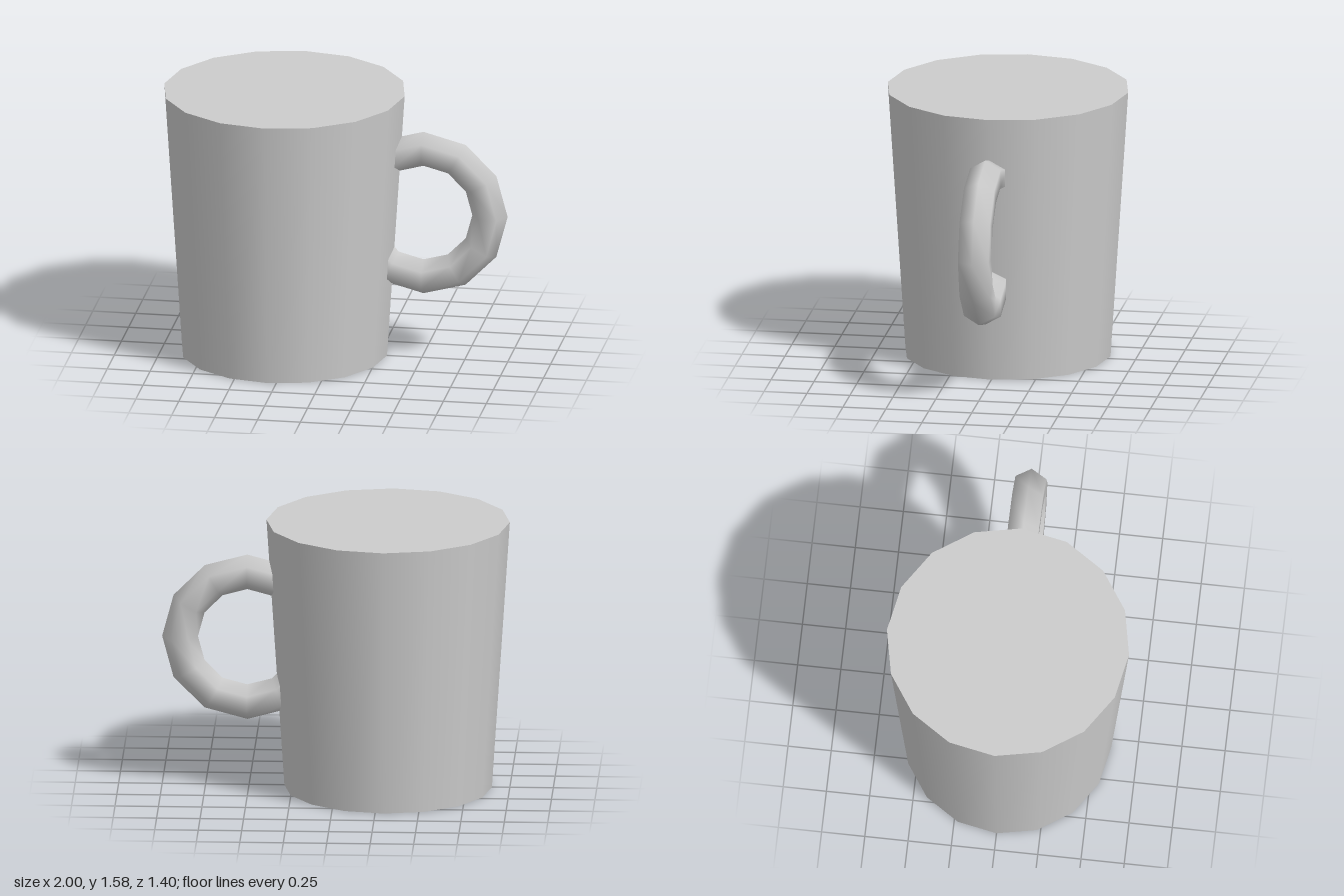
import * as THREE from 'three';

export function createModel() {
  const group = new THREE.Group();
  const material = new THREE.MeshStandardMaterial({ color: 0xcccccc });
  const height = 1.58;

  // Tapered, closed body with sixteen smooth-shaded sides
  const body = new THREE.Mesh(new THREE.CylinderGeometry(0.7, 0.597, height, 16), material);
  body.name = 'mugBody';
  body.position.set(-0.3, height / 2, 0);
  group.add(body);

  // Ring handle, sunk into the body on its left side
  const handle = new THREE.Mesh(new THREE.TorusGeometry(0.387, 0.103, 6, 12), material);
  handle.name = 'handle';
  handle.position.set(0.51, 0.88, 0);
  group.add(handle);

  return group;
}
